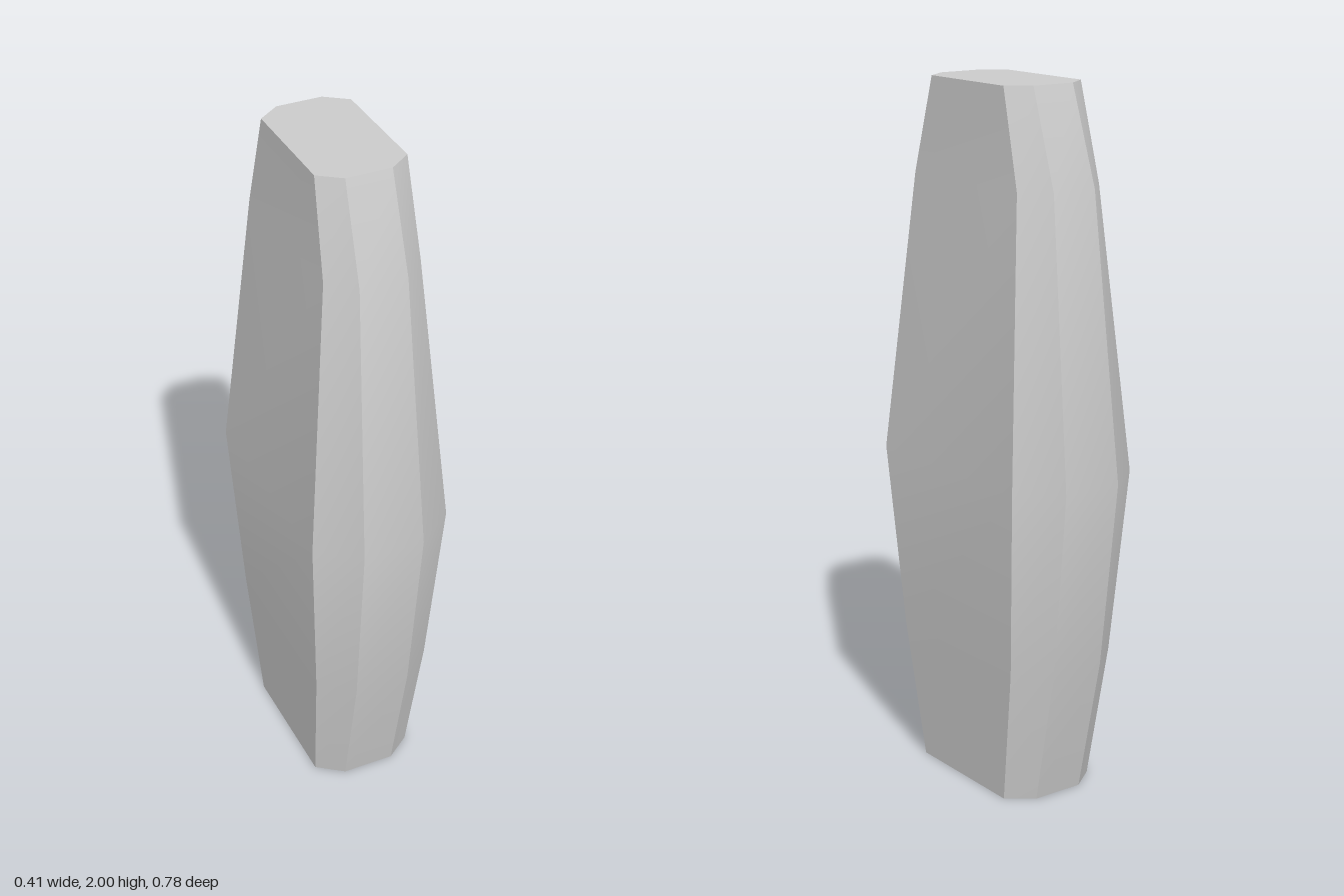
import * as THREE from 'three';
import { toCreasedNormals } from 'three/addons/utils/BufferGeometryUtils.js';

// Cross-sections from bottom to top:
// height, half width, half width of front flat, half depth, half depth of side flat
const SECTIONS = [
  [0, 0.15, 0.076, 0.25, 0.195],
  [0.4, 0.173, 0.081, 0.334, 0.258],
  [0.935, 0.203, 0.089, 0.392, 0.304],
  [1.73, 0.137, 0.068, 0.303, 0.235],
  [2, 0.128, 0.065, 0.21, 0.164],
];

// Chamfered rectangle, running from front (+z) towards left (+x)
function ring([y, w, fw, d, fd]) {
  return [
    [fw, d], [w, fd], [w, -fd], [fw, -d],
    [-fw, -d], [-w, -fd], [-w, fd], [-fw, d],
  ].flatMap(([x, z]) => [x, y, z]);
}

function loftGeometry(sections) {
  const n = 8;
  const index = [];
  // Side walls
  for (let s = 0; s < sections.length - 1; s++) {
    for (let i = 0; i < n; i++) {
      const a = s * n + i;
      const b = s * n + ((i + 1) % n);
      index.push(a, b, b + n, a, b + n, a + n);
    }
  }
  // Flat end caps
  const top = (sections.length - 1) * n;
  for (let i = 1; i < n - 1; i++) {
    index.push(0, i + 1, i);
    index.push(top, top + i, top + i + 1);
  }
  const geometry = new THREE.BufferGeometry();
  geometry.setAttribute('position', new THREE.Float32BufferAttribute(sections.flatMap(ring), 3));
  geometry.setIndex(index);
  // Smooth along the height, sharp at the chamfers and caps
  return toCreasedNormals(geometry, THREE.MathUtils.degToRad(28));
}

export function createModel() {
  const group = new THREE.Group();
  group.name = 'chamferedPillar';
  const body = new THREE.Mesh(
    loftGeometry(SECTIONS),
    new THREE.MeshStandardMaterial({ color: 0xcccccc })
  );
  body.name = 'pillarBody';
  group.add(body);
  return group;
}
